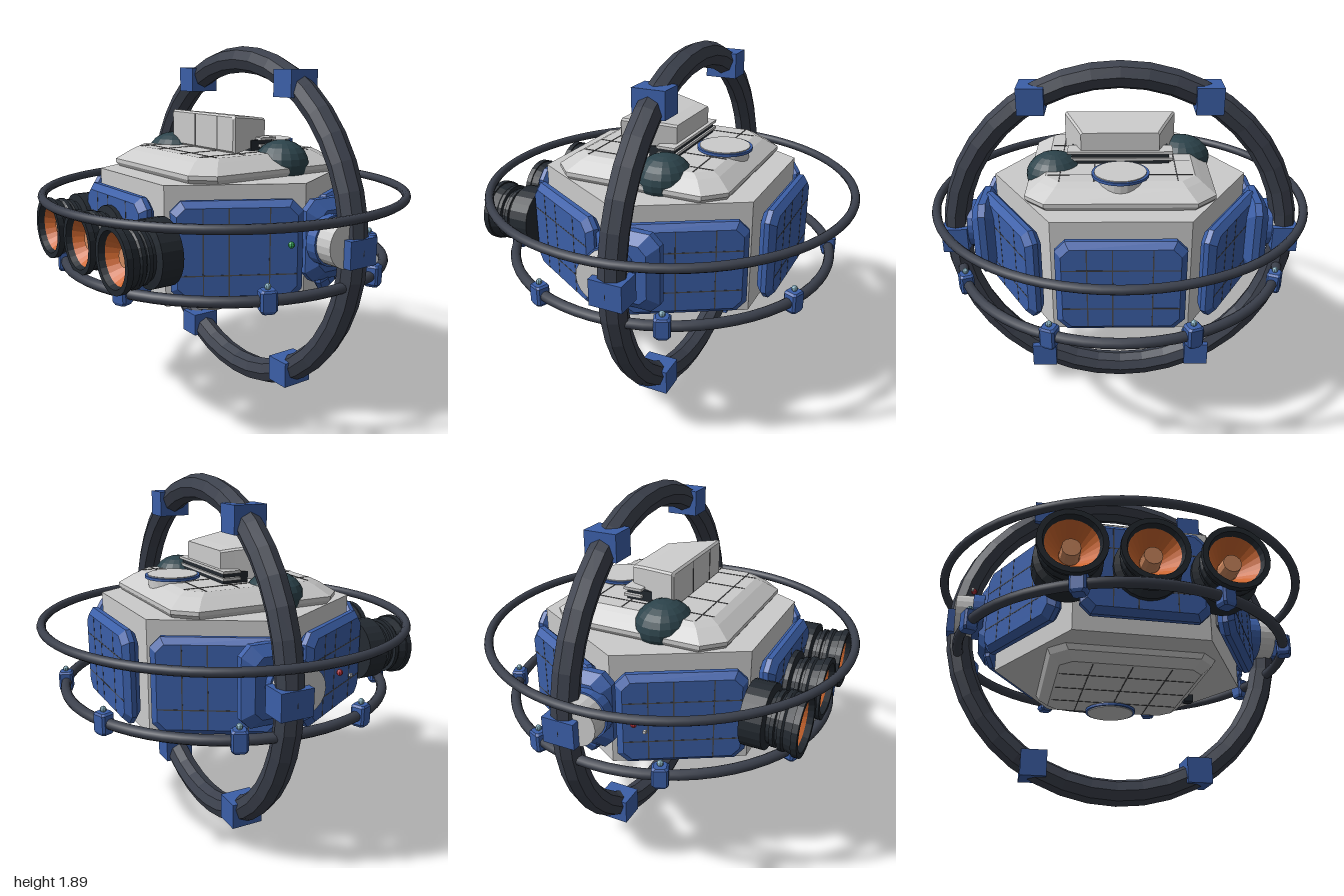
import * as THREE from 'three';

const mat = (color, flat = true) => new THREE.MeshStandardMaterial({ color, flatShading: flat });
const GREY = mat(0xcccccc), BLUE = mat(0x3b5fa8), DARK = mat(0x3b404c), BLACK = mat(0x232930);
const TEAL = mat(0x2c434b), ORANGE = mat(0xd0682f), COPPER = mat(0xd08a60), SEAM = mat(0x4a4a4c);
const RING = mat(0x3b404c, false);

function add(parent, name, geo, material, x = 0, y = 0, z = 0) {
  const m = new THREE.Mesh(geo, material);
  m.name = name;
  m.position.set(x, y, z);
  parent.add(m);
  return m;
}
const box = (w, h, d) => new THREE.BoxGeometry(w, h, d);
const cyl = (r0, r1, h, n = 24) => new THREE.CylinderGeometry(r0, r1, h, n);

// Closed solid through a stack of equal-length cross-sections
function loft(rings) {
  const n = rings[0].length, idx = [], last = (rings.length - 1) * n;
  for (let r = 0; r < rings.length - 1; r++)
    for (let i = 0; i < n; i++) {
      const a = r * n + i, b = r * n + (i + 1) % n;
      idx.push(a, b, b + n, a, b + n, a + n);
    }
  for (let i = 1; i < n - 1; i++) idx.push(0, i + 1, i, last, last + i, last + i + 1);
  const g = new THREE.BufferGeometry();
  g.setAttribute('position', new THREE.Float32BufferAttribute(rings.flat(2), 3));
  g.setIndex(idx);
  const flat = g.toNonIndexed();
  flat.computeVertexNormals();
  return flat;
}

// Rectangle with cut corners at height y
const octagon = (y, hx, hz, c) => [
  [hx, y, hz - c], [hx, y, c - hz], [hx - c, y, -hz], [c - hx, y, -hz],
  [-hx, y, c - hz], [-hx, y, hz - c], [c - hx, y, hz], [hx - c, y, hz]];
const plate = levels => loft(levels.map(l => octagon(...l)));

// Bevelled armour plate facing +z
const armour = (hw, hh, t, b) => plate([
  [-t, hw - b, hh - b, .04], [-t * .3, hw, hh, .05], [t * .3, hw, hh, .05], [t, hw - b, hh - b, .04],
]).rotateX(Math.PI / 2);

function thruster() {
  const g = new THREE.Group();
  g.name = 'thruster';
  const lathe = (pts) => new THREE.LatheGeometry(pts.map(p => new THREE.Vector2(...p)), 24).rotateX(Math.PI / 2);
  add(g, 'thrusterHousing', lathe([[0, 0], [.165, 0], [.165, .11], [.128, .12], [.128, .14], [.14, .14],
    [.14, .16], [.13, .165], [.13, .18], [.15, .18], [.15, .2], [.143, .21], [.155, .25], [.162, .25],
    [.162, .28], [.135, .28], [.125, .25], [.125, .12], [0, .12]]), BLACK);
  add(g, 'thrusterFunnel', lathe([[.125, .25], [.05, .14], [0, .14]]), ORANGE);
  add(g, 'thrusterHub', cyl(.045, .05, .09, 12).rotateX(Math.PI / 2), COPPER, 0, 0, .175);
  return g;
}

export function createModel() {
  const model = new THREE.Group();

  // Hexagonal hull, a corner at each side
  add(model, 'hull', cyl(.67, .67, .59, 6).rotateY(Math.PI / 2), GREY, 0, .955, 0);

  // Six armour panels with seams
  for (let i = 0; i < 6; i++) {
    const side = new THREE.Group();
    side.name = 'sidePanel';
    side.position.y = .95;
    side.rotation.y = i * Math.PI / 3;
    add(side, 'panelPlate', armour(.31, .24, .042, .03), BLUE, 0, 0, .645);
    add(side, 'panelMount', box(.4, .3, .06), DARK, 0, 0, .59);
    for (const x of [-.16, -.04, .15]) add(side, 'panelSeam', box(.006, .42, .004), SEAM, x, 0, .686);
    for (const y of [-.11, .1]) add(side, 'panelSeam', box(.56, .006, .004), SEAM, 0, y, .686);
    model.add(side);
  }

  // Upper deck
  add(model, 'upperDeck', plate([[1.24, .45, .45, .1], [1.27, .47, .47, .1], [1.29, .47, .47, .1],
    [1.34, .4, .4, .08], [1.36, .37, .36, .07]]), GREY);
  for (const v of [-.28, -.1, .13, .3]) {
    add(model, 'deckSeam', box(.006, .004, .72), SEAM, v, 1.36, 0);
    add(model, 'deckSeam', box(.72, .004, .006), SEAM, 0, 1.36, v);
  }

  // Lower deck
  add(model, 'lowerDeck', plate([[.59, .36, .37, .06], [.63, .41, .42, .08], [.67, .43, .43, .08]]), GREY);
  for (const v of [-.2, 0, .2]) {
    add(model, 'deckSeam', box(.006, .004, .7), SEAM, v, .59, 0);
    add(model, 'deckSeam', box(.7, .004, .006), SEAM, 0, .59, v);
  }
  add(model, 'lowerSensor', box(.05, .04, .05), BLACK, .42, .625, -.15);

  // Round hatches above and below
  for (const [y, s] of [[1.365, 1], [.585, -1]]) {
    add(model, 'hatchNeck', cyl(.125, .125, .08), GREY, 0, y - s * .03, -.3);
    add(model, 'hatchRim', cyl(.143, .143, .014), BLUE, 0, y + s * .012, -.3);
    add(model, 'hatchLid', cyl(.13, .13, .02), GREY, 0, y + s * .014, -.3);
  }

  // Glass domes
  const dome = new THREE.SphereGeometry(1, 18, 12);
  add(model, 'rightDome', dome, TEAL, -.33, 1.3, .12).scale.set(.16, .12, .145);
  add(model, 'leftDome', dome, TEAL, .34, 1.3, -.12).scale.set(.145, .12, .14);

  // Bridge box with a dark vent behind
  const section = (z, hx, y0, y1, c) => [[hx, y0, z], [hx, y1 - c, z], [hx - c, y1, z],
    [c - hx, y1, z], [-hx, y1 - c, z], [-hx, y0, z]];
  add(model, 'bridge', loft([section(-.12, .2, 1.42, 1.52, .01), section(-.05, .225, 1.38, 1.53, .01),
    section(.14, .295, 1.36, 1.55, .01), section(.15, .285, 1.37, 1.54, .01)]), GREY);
  for (const x of [-.06, .15]) add(model, 'bridgeSeam', box(.006, .17, .004), SEAM, x, 1.455, .15);
  add(model, 'ventBlock', box(.5, .06, .14), BLACK, 0, 1.385, -.06);
  for (const y of [1.385, 1.42]) add(model, 'ventSlat', box(.54, .014, .1), GREY, 0, y, -.09);

  // Thrusters
  for (const x of [-.375, 0, .375]) {
    const t = thruster();
    t.position.set(x, .95, .6);
    model.add(t);
  }

  // Vertical gyro ring with six clamps
  add(model, 'gyroRing', new THREE.TorusGeometry(.876, .069, 8, 40), DARK, 0, .946, -.12);
  for (let i = 0; i < 6; i++) {
    const a = i * Math.PI / 3;
    add(model, 'gyroClamp', box(.135, .135, .17), BLUE, .876 * Math.cos(a), .95 + .757 / .866 * Math.sin(a), -.12);
  }

  // Side pivots and navigation lights
  for (const s of [-1, 1]) {
    const pivot = new THREE.Group();
    pivot.name = s > 0 ? 'leftPivot' : 'rightPivot';
    pivot.rotation.y = s * Math.PI / 2;
    pivot.position.set(0, .98, -.12);
    add(pivot, 'pivotPlate', armour(.165, .2, .06, .05), BLUE, 0, 0, .71);
    model.add(pivot);
    const axle = (r, l) => cyl(r, r, l, 20).rotateZ(Math.PI / 2);
    add(model, 'pivotCollar', axle(.125, .06), BLUE, s * .78, .99, -.06);
    add(model, 'pivotAxle', axle(.115, .1), GREY, s * .85, .99, -.06);
    add(model, 'navigationLight', new THREE.SphereGeometry(.016, 8, 6),
      mat(s > 0 ? 0x2f9e55 : 0xb03038), s * .805, 1.01, .2);
  }
  add(model, 'antennaTip', box(.014, .014, .014), GREY, -.81, .99, .26);

  // Thin upper ring
  add(model, 'upperRing', new THREE.TorusGeometry(.975, .023, 10, 72).rotateX(Math.PI / 2), RING, 0, 1.13, 0);

  // Lower ring with eight bolted clamps
  add(model, 'lowerRing', new THREE.TorusGeometry(.872, .027, 10, 64).rotateX(Math.PI / 2), RING, 0, .775, 0);
  for (let i = 0; i < 8; i++) {
    const clamp = new THREE.Group();
    clamp.name = 'ringClamp';
    clamp.rotation.y = (i + .5) * Math.PI / 4;
    add(clamp, 'clampBody', plate([[-.055, .03, .03, .01], [-.04, .04, .036, .01], [.045, .04, .036, .01],
      [.055, .03, .03, .01]]), BLUE, 0, .775, .875);
    add(clamp, 'clampBolt', new THREE.SphereGeometry(.016, 8, 6), mat(0x7fa8b8), 0, .842, .875);
    model.add(clamp);
  }
  return model;
}
